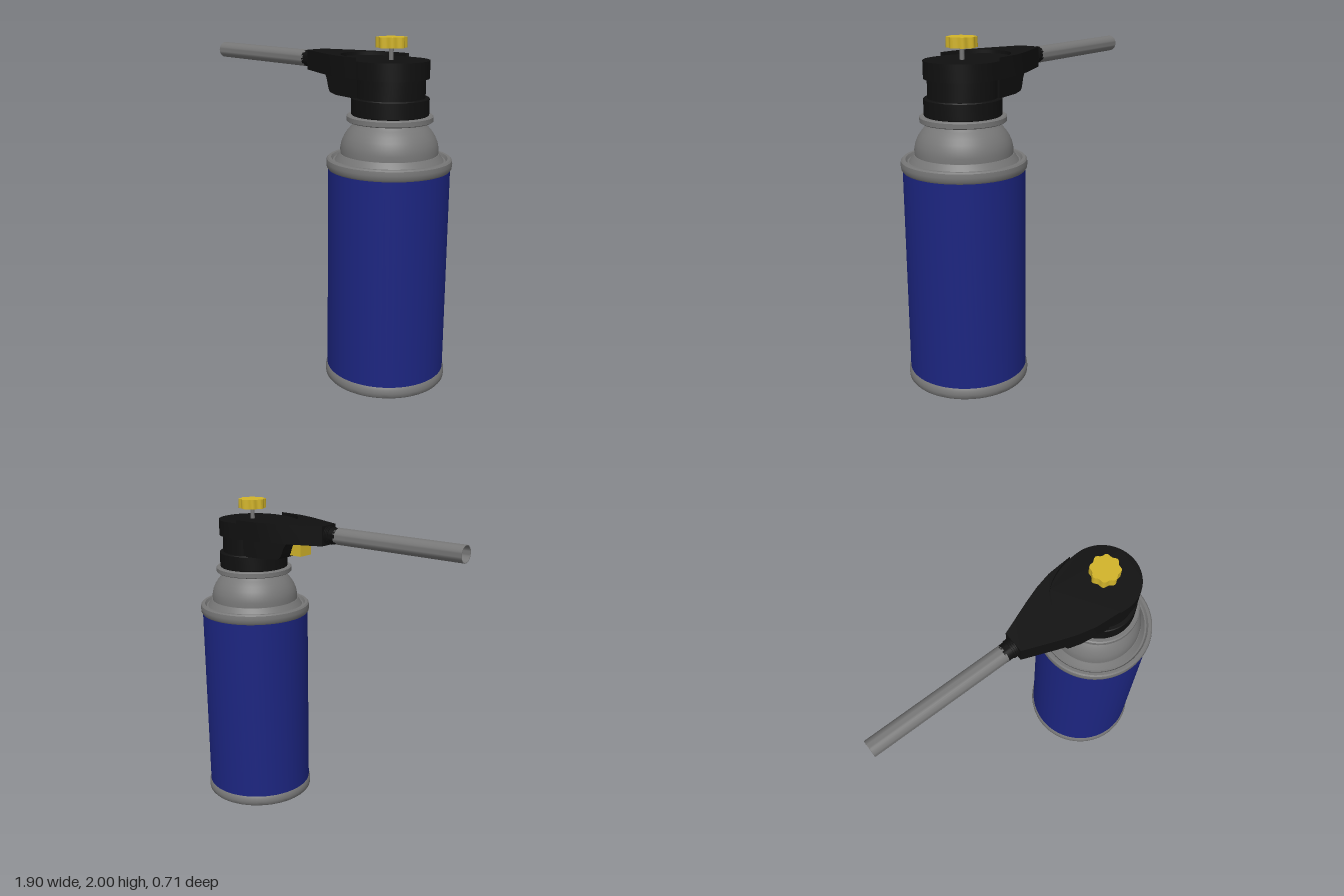
import * as THREE from 'three';
import { toCreasedNormals } from 'three/addons/utils/BufferGeometryUtils.js';

const AXIS = 0.59; // x of the can's centre line
const mat = (color, extra = {}) => new THREE.MeshStandardMaterial({ color, ...extra });

export function createModel() {
  const model = new THREE.Group();
  const metal = mat(0x777777), blue = mat(0x1c2580), black = mat(0x101010), yellow = mat(0xd2b42a);
  const pipe = mat(0x777777, { side: THREE.DoubleSide });

  const add = (name, geometry, material, x = 0, y = 0, z = 0) => {
    const mesh = new THREE.Mesh(toCreasedNormals(geometry, 0.6), material);
    mesh.name = name;
    mesh.position.set(x, y, z);
    model.add(mesh);
    return mesh;
  };
  // Turned part from [radius, height] pairs, bottom to top
  const lathe = (pts, seg = 64) => new THREE.LatheGeometry(pts.map(p => new THREE.Vector2(...p)), seg);
  // Plan outline in (x, z), extruded upwards from y0 to y1
  const slab = (shape, y0, y1) => new THREE.ExtrudeGeometry(shape, { depth: y1 - y0, bevelEnabled: false, curveSegments: 24 })
    .rotateX(-Math.PI / 2).translate(0, y0, 0);

  // Can: recessed base, rolled rims and label wall
  add('bottomRim', lathe([[0, 0.02], [0.31, 0.02], [0.322, 0], [0.345, 0], [0.353, 0.01], [0.355, 0.03],
    [0.353, 0.052], [0.345, 0.066]]), metal, AXIS);
  add('canBody', lathe([[0.345, 0.065], [0.345, 1.268]]), blue, AXIS);
  add('topRim', lathe([[0.345, 1.265], [0.353, 1.277], [0.356, 1.3], [0.353, 1.322], [0.345, 1.33], [0.328, 1.33],
    [0.318, 1.315], [0.308, 1.315], [0.295, 1.335], [0.28, 1.355], [0.276, 1.355]]), metal, AXIS);
  add('dome', lathe([[0.276, 1.345], [0.277, 1.385], [0.27, 1.42], [0.256, 1.453], [0.237, 1.482], [0.213, 1.51],
    [0.19, 1.53], [0.185, 1.54]]), metal, AXIS);
  add('neckFlange', lathe([[0.18, 1.535], [0.236, 1.535], [0.243, 1.54], [0.243, 1.566], [0.236, 1.572], [0, 1.572]]), metal, AXIS);

  // Valve housing
  add('valveCollar', lathe([[0, 1.571], [0.213, 1.571], [0.218, 1.576], [0.218, 1.665], [0.213, 1.67], [0, 1.67]]), black, AXIS);
  add('valveNeck', new THREE.CylinderGeometry(0.195, 0.195, 0.12, 64), black, AXIS, 1.725);

  // Head plate: round at the back, elliptical towards the arm
  const head = new THREE.Shape();
  head.absellipse(AXIS, 0, 0.215, 0.215, -Math.PI / 2, Math.PI / 2, false);
  head.absellipse(AXIS, 0, 0.335, 0.215, Math.PI / 2, Math.PI * 1.5, false);
  add('headPlate', slab(head, 1.777, 1.875), black);

  // Arm: tapering body whose top ends in a hollowed curve around the head
  const width = [[-0.03, 0.065], [0.06, 0.1], [0.167, 0.142], [0.27, 0.178], [0.37, 0.202], [0.45, 0.208], [0.53, 0.213]];
  const arm = new THREE.Shape(width.map(([x, w]) => new THREE.Vector2(x, -w)));
  arm.absellipse(AXIS, 0, 0.335, 0.215, Math.PI * 1.44, Math.PI * 0.56, true);
  for (const [x, w] of [...width].reverse()) arm.lineTo(x, w);
  add('arm', slab(arm, 1.777, 1.895), black);

  // Lower arm: side profile, narrowed towards the nozzle
  const halfWidth = x => 0.125 + 0.062 * Math.min(1, Math.max(0, (x - 0.18) / 0.25));
  const under = new THREE.Shape();
  under.moveTo(0.18, 1.78);
  under.bezierCurveTo(0.23, 1.76, 0.215, 1.69, 0.255, 1.675);
  for (const [x, y] of [[0.32, 1.668], [0.5, 1.668], [0.5, 1.78], [0.32, 1.78], [0.255, 1.78]]) under.lineTo(x, y);
  const lower = new THREE.ExtrudeGeometry(under, { depth: 2, bevelEnabled: false, curveSegments: 10 }).translate(0, 0, -1);
  const p = lower.attributes.position;
  for (let i = 0; i < p.count; i++) p.setZ(i, p.getZ(i) * halfWidth(p.getX(i)));
  lower.computeVertexNormals();
  add('lowerArm', lower, black);

  // Trigger under the arm
  add('trigger', new THREE.BoxGeometry(0.11, 0.085, 0.1), yellow, 0.205, 1.732);

  // Ribbed socket and open nozzle tube, both along x
  const socket = [[0, -0.107], [0.05, -0.107], [0.05, -0.06]];
  for (let i = 0; i < 3; i++) {
    const x = -0.06 + i * 0.012;
    socket.push([0.055, x], [0.055, x + 0.007], [0.05, x + 0.007], [0.05, x + 0.012]);
  }
  socket.push([0.058, -0.024], [0.058, 0.02], [0, 0.02]);
  add('nozzleSocket', lathe(socket, 32).rotateZ(-Math.PI / 2), black, 0, 1.837);
  add('nozzleTube', lathe([[0.046, 0.8], [0.046, 0], [0.05, 0], [0.05, 0.86]], 32).rotateZ(-Math.PI / 2), pipe, -0.955, 1.837);

  // Valve stem and lobed knob
  add('knobStem', new THREE.CylinderGeometry(0.013, 0.013, 0.09, 16), metal, AXIS, 1.905);
  const knob = new THREE.Shape();
  for (let i = 0; i < 64; i++) {
    const a = i / 64 * Math.PI * 2, r = 0.081 + 0.006 * Math.cos(8 * a);
    knob[i ? 'lineTo' : 'moveTo'](AXIS + r * Math.cos(a), r * Math.sin(a));
  }
  add('knob', slab(knob, 1.942, 2.0), yellow);

  return model;
}
